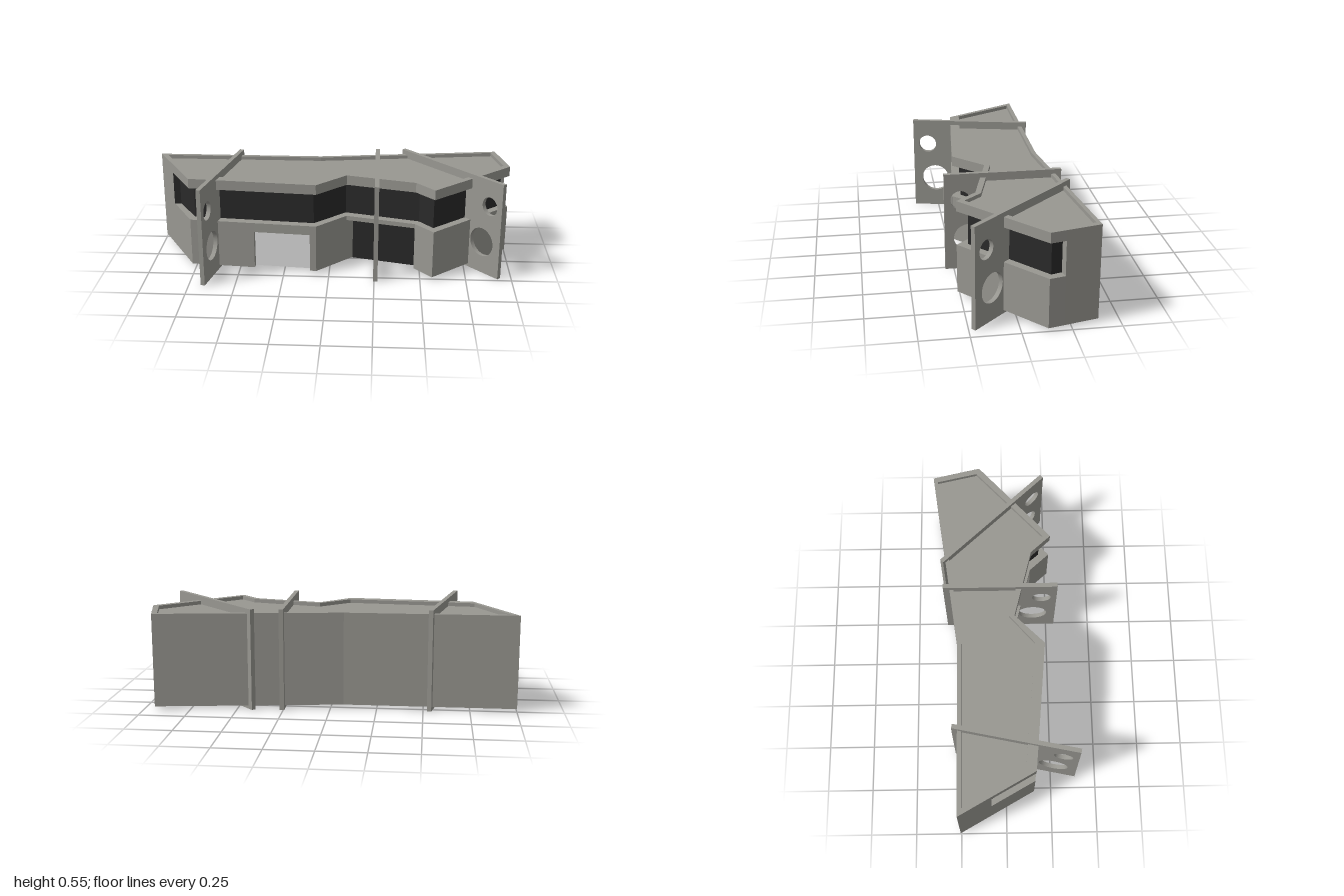
import * as THREE from 'three';

// Walls are thin shells open at the bottom, so both sides show
const material = (name, color) => {
  const m = new THREE.MeshStandardMaterial({ color, side: THREE.DoubleSide });
  m.name = name;
  return m;
};
const concrete = material('warm grey concrete', 0x989791);
const glass = material('dark glass', 0x292929);
const pale = material('pale door', 0xe3e3e3);

// Heights of the storeys
const BASE = 0.018, SILL = 0.285, HEAD = 0.47, TOP = 0.525, ROOF = 0.505;

// Plan points are [x, z]; outline runs back, right end, front, left end
const O = [[-1, -0.255], [-0.07, -0.255], [0.94, -0.39], [1, -0.13], [0.565, 0.264],
  [0.467, 0.155], [0.09, 0.057], [-0.07, 0.218], [-0.77, 0.156]];
const P = [[-0.955, -0.232], [-0.07, -0.232], [0.915, -0.365], [0.965, -0.145], [0.565, 0.222],
  [0.48, 0.127], [0.09, 0.026], [-0.07, 0.165], [-0.775, 0.1]];
// Ends of the ribbon window and the glass line behind it
const R = [0.982, -0.21], L = [-0.902, -0.08];
const G = [[0.94, -0.2], [0.955, -0.145], [0.565, 0.205], [0.49, 0.115], [0.085, 0.005],
  [-0.085, 0.17], [-0.75, 0.11], [-0.865, -0.08]];

export function createModel() {
  const group = new THREE.Group();

  const add = (name, geometry, mat) => {
    const mesh = new THREE.Mesh(geometry, mat);
    mesh.name = name;
    group.add(mesh);
    return mesh;
  };

  // Vertical wall along a plan polyline
  const wall = (name, pts, y0, y1, mat = concrete) => {
    const pos = [];
    for (let i = 0; i + 1 < pts.length; i++) {
      const [ax, az] = pts[i], [bx, bz] = pts[i + 1];
      pos.push(ax, y0, az, ax, y1, az, bx, y1, bz, ax, y0, az, bx, y1, bz, bx, y0, bz);
    }
    const g = new THREE.BufferGeometry();
    g.setAttribute('position', new THREE.Float32BufferAttribute(pos, 3));
    g.computeVertexNormals();
    add(name, g, mat);
  };

  // Horizontal face on a plan polygon, facing up or down
  const slab = (name, pts, y, up, mat = concrete, hole = null) => {
    const s = up ? -1 : 1;
    const toVec = list => list.map(([x, z]) => new THREE.Vector2(x, s * z));
    const shape = new THREE.Shape(toVec(pts));
    if (hole) shape.holes.push(new THREE.Path(toVec(hole)));
    const g = new THREE.ShapeGeometry(shape);
    g.rotateX(s * Math.PI / 2);
    g.translate(0, y, 0);
    add(name, g, mat);
  };

  // Stand a mesh built along x on the plan line from a to b
  const turn = (mesh, a, b) => {
    mesh.rotation.y = Math.atan2(a[1] - b[1], b[0] - a[0]);
  };

  // Thin upright panel between two plan points
  const panel = (name, a, b, y0, y1, mat) => {
    const len = Math.hypot(b[0] - a[0], b[1] - a[1]);
    const mesh = add(name, new THREE.BoxGeometry(len, y1 - y0, 0.016), mat);
    mesh.position.set((a[0] + b[0]) / 2, (y0 + y1) / 2, (a[1] + b[1]) / 2);
    turn(mesh, a, b);
  };

  // Door and bay recesses
  const doorL = [-0.415, 0.187], doorR = [-0.105, 0.215];
  const doorLi = [-0.412, 0.148], doorRi = [-0.102, 0.176];
  const bayR = [0.47, 0.108], bayL = [0.127, 0.02];

  // Outer walls
  wall('backWall', [L, O[0], O[1], O[2], R], BASE, TOP);
  wall('lowerWallRight', [R, O[3], O[4], O[5], bayR], BASE, SILL);
  wall('lowerWallMiddle', [bayL, O[6], O[7], doorR, doorRi], BASE, SILL);
  wall('lowerWallLeft', [doorLi, doorL, O[8], L], BASE, SILL);
  wall('doorLintel', [doorR, doorL], 0.232, SILL);
  slab('doorRecessCeiling', [doorR, doorL, doorLi, doorRi], 0.232, false);
  wall('bayLintel', [O[5], O[6]], 0.26, SILL);
  slab('bayRecessCeiling', [O[5], O[6], bayL, bayR], 0.26, false);
  panel('door', doorLi, doorRi, BASE, 0.228, pale);
  panel('bayPanel', bayL, bayR, BASE, 0.26, glass);

  // Ribbon window
  const front = [R, ...O.slice(3), L];
  const ring = [...front, ...[...G].reverse()];
  wall('upperBand', front, HEAD, TOP);
  wall('ribbonGlass', [...G, L], SILL, HEAD, glass);
  wall('windowEnd', [R, G[0]], SILL, HEAD);
  slab('windowSill', ring, SILL, true);
  slab('windowHead', ring, HEAD, false);
  slab('glassUnderside', [O[0], O[1], O[2], R, ...G, L], SILL, false, glass);

  // Roof with parapet
  slab('parapetTop', O, TOP, true, concrete, P);
  wall('parapetInside', [...P, P[0]].reverse(), ROOF, TOP);
  slab('roof', P, ROOF, true);

  // Pierced fins, from the front end to the back end
  const fin = (name, a, b) => {
    const len = Math.hypot(b[0] - a[0], b[1] - a[1]), t = 0.024;
    const shape = new THREE.Shape([[0, 0], [len, 0], [len, 0.55], [0, 0.55]]
      .map(p => new THREE.Vector2(...p)));
    for (const [x, y, r] of [[0.13, 0.18, 0.081], [0.085, 0.402, 0.052]])
      shape.holes.push(new THREE.Path().absarc(x, y, r, 0, Math.PI * 2, true));
    const g = new THREE.ExtrudeGeometry(shape, { depth: t, bevelEnabled: false, curveSegments: 32 });
    g.translate(0, 0, -t / 2);
    const mesh = add(name, g, concrete);
    mesh.position.set(a[0], 0, a[1]);
    turn(mesh, a, b);
  };
  fin('finLeft', [-0.674, 0.389], [-0.532, -0.282]);
  fin('finMiddle', [0.257, 0.296], [0.257, -0.332]);
  fin('finRight', [0.932, 0.226], [0.409, -0.339]);

  return group;
}
